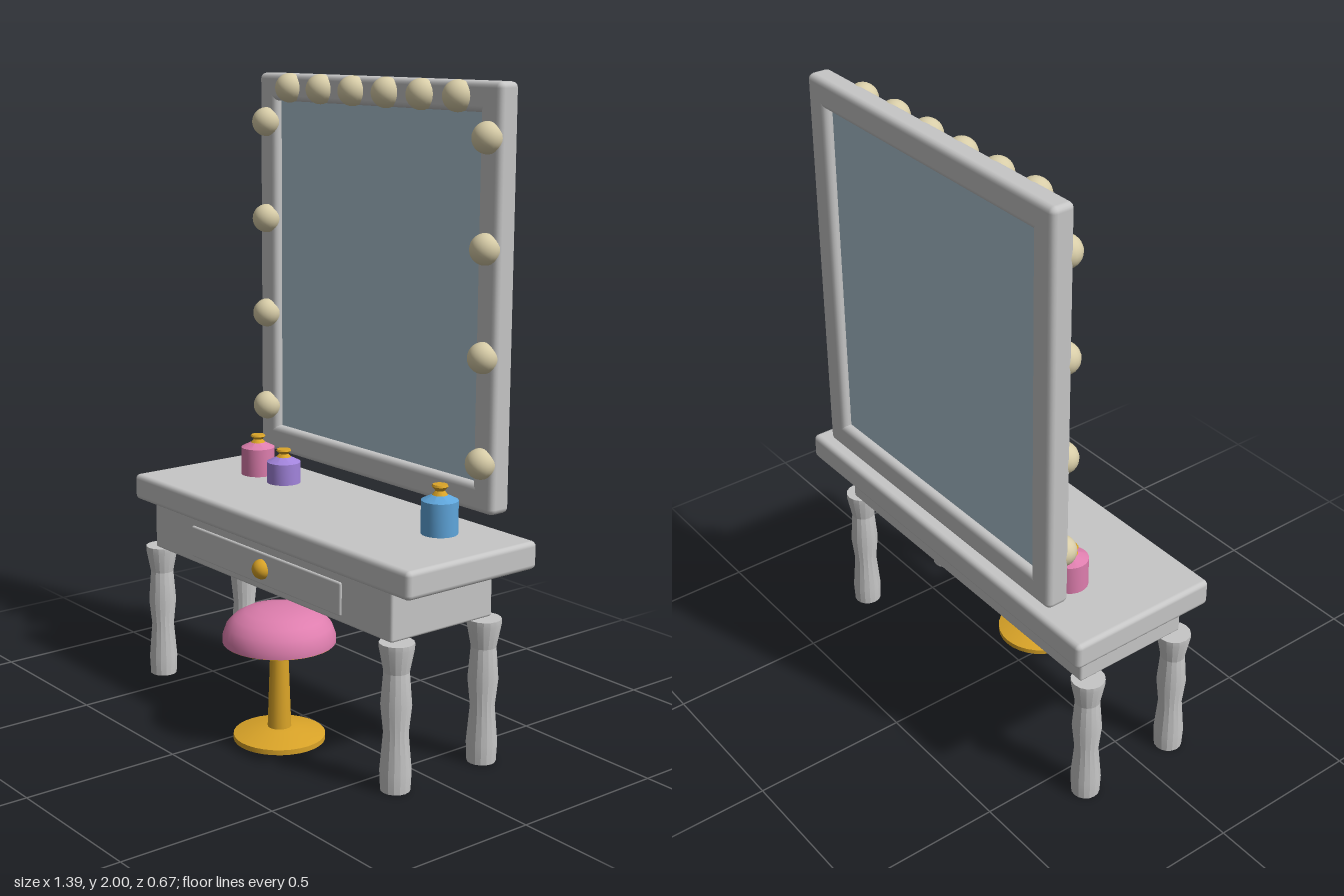
import * as THREE from 'three';
import { toCreasedNormals } from 'three/addons/utils/BufferGeometryUtils.js';
import { RoundedBoxGeometry } from 'three/addons/geometries/RoundedBoxGeometry.js';

const material = (name, color) => {
  const m = new THREE.MeshStandardMaterial({ color });
  m.name = name;
  return m;
};

export function createModel() {
  const paint = material('grey paint', 0xc6c6c6);
  const glass = material('mirror glass', 0xaec5d2);
  const bulbGlass = material('warm bulb', 0xd8cda8);
  const gold = material('gold', 0xdaa428);
  const pink = material('pink', 0xde7eae);
  const purple = material('purple', 0xa284dc);
  const blue = material('blue', 0x5fa6dc);

  const model = new THREE.Group();
  model.name = 'vanityTable';

  const add = (name, geometry, mat, x, y, z, parent = model) => {
    const mesh = new THREE.Mesh(geometry, mat);
    mesh.name = name;
    mesh.position.set(x, y, z);
    parent.add(mesh);
    return mesh;
  };
  const group = (name) => {
    const g = new THREE.Group();
    g.name = name;
    model.add(g);
    return g;
  };
  // Box given by its extents, with softened edges
  const box = (name, [x0, x1], [y0, y1], [z0, z1], r, parent) =>
    add(name, new RoundedBoxGeometry(x1 - x0, y1 - y0, z1 - z0, 2, r), paint,
      (x0 + x1) / 2, (y0 + y1) / 2, (z0 + z1) / 2, parent);
  // Turned shape from [radius, height] pairs, bottom to top
  const turned = (points, sides, crease = 0.5) => toCreasedNormals(
    new THREE.LatheGeometry(points.map(([r, y]) => new THREE.Vector2(r, y)), sides), crease);

  // Table
  const table = group('table');
  box('tableTop', [-0.695, 0.695], [0.597, 0.683], [-0.328, 0.175], 0.016, table);
  box('apron', [-0.603, 0.603], [0.447, 0.6], [-0.238, 0.154], 0.008, table);
  box('drawerFront', [-0.381, 0.381], [0.468, 0.571], [0.14, 0.161], 0.006, table);
  add('drawerKnob', new THREE.SphereGeometry(0.032, 20, 14), gold, 0, 0.519, 0.16, table);

  const legShape = turned([[0, 0], [0.044, 0], [0.047, 0.06], [0.037, 0.175],
    [0.046, 0.26], [0.038, 0.36], [0.052, 0.432], [0.052, 0.448], [0, 0.448]], 16, 0.2);
  for (const x of [-0.602, 0.602])
    for (const z of [-0.208, 0.132]) add('leg', legShape, paint, x, 0, z, table);

  // Mirror
  const mirror = group('mirror');
  const depth = [-0.335, -0.259];
  box('frameTop', [-0.568, 0.568], [1.912, 2], depth, 0.018, mirror);
  box('frameBottom', [-0.568, 0.568], [0.738, 0.824], depth, 0.018, mirror);
  for (const s of [-1, 1]) {
    const xs = s < 0 ? [-0.568, -0.482] : [0.482, 0.568];
    box('frameSide', xs, [0.738, 2], depth, 0.018, mirror);
  }
  add('glass', new THREE.BoxGeometry(1, 1.13, 0.02), glass, 0, 1.368, -0.297, mirror);

  // Bulbs along the top and sides of the frame
  const bulbShape = new THREE.SphereGeometry(0.047, 20, 14);
  for (let i = 0; i < 6; i++)
    add('bulb', bulbShape, bulbGlass, -0.397 + i * 0.1588, 1.956, -0.255, mirror);
  for (let i = 0; i < 4; i++)
    for (const s of [-1, 1])
      add('bulb', bulbShape, bulbGlass, s * 0.523, 0.892 + i * 0.317, -0.255, mirror);

  // Perfume bottles: [name, material, x, body height, cap height]
  const bottles = [['pinkBottle', pink, -0.445, 0.093, 0.026],
    ['purpleBottle', purple, -0.303, 0.07, 0.026],
    ['blueBottle', blue, 0.457, 0.103, 0.032]];
  for (const [name, mat, x, h, cap] of bottles) {
    const bottle = group(name);
    bottle.position.set(x, 0.682, -0.156);
    add('body', turned([[0, 0], [0.056, 0], [0.056, h], [0.022, h + 0.017], [0, h + 0.017]], 24, 0.4),
      mat, 0, 0, 0, bottle);
    add('cap', turned([[0.024, 0], [0.014, cap * 0.4], [0.025, cap * 0.8], [0.022, cap], [0, cap]], 16),
      gold, 0, h + 0.016, 0, bottle);
  }

  // Stool
  const stool = group('stool');
  stool.position.set(0.092, 0, 0.164);
  add('cushion', turned([[0.174, 0.315], [0.174, 0.335], [0.162, 0.368], [0.138, 0.393],
    [0.105, 0.411], [0.06, 0.42], [0, 0.423]], 32, 0.5), pink, 0, 0, 0, stool);
  add('seatBase', new THREE.CylinderGeometry(0.173, 0.173, 0.004, 32), gold, 0, 0.316, 0, stool);
  add('post', new THREE.CylinderGeometry(0.027, 0.037, 0.28, 16), gold, 0, 0.175, 0, stool);
  add('foot', turned([[0, 0], [0.142, 0], [0.142, 0.016], [0.06, 0.038], [0, 0.04]], 32, 0.4),
    gold, 0, 0, 0, stool);

  return model;
}
